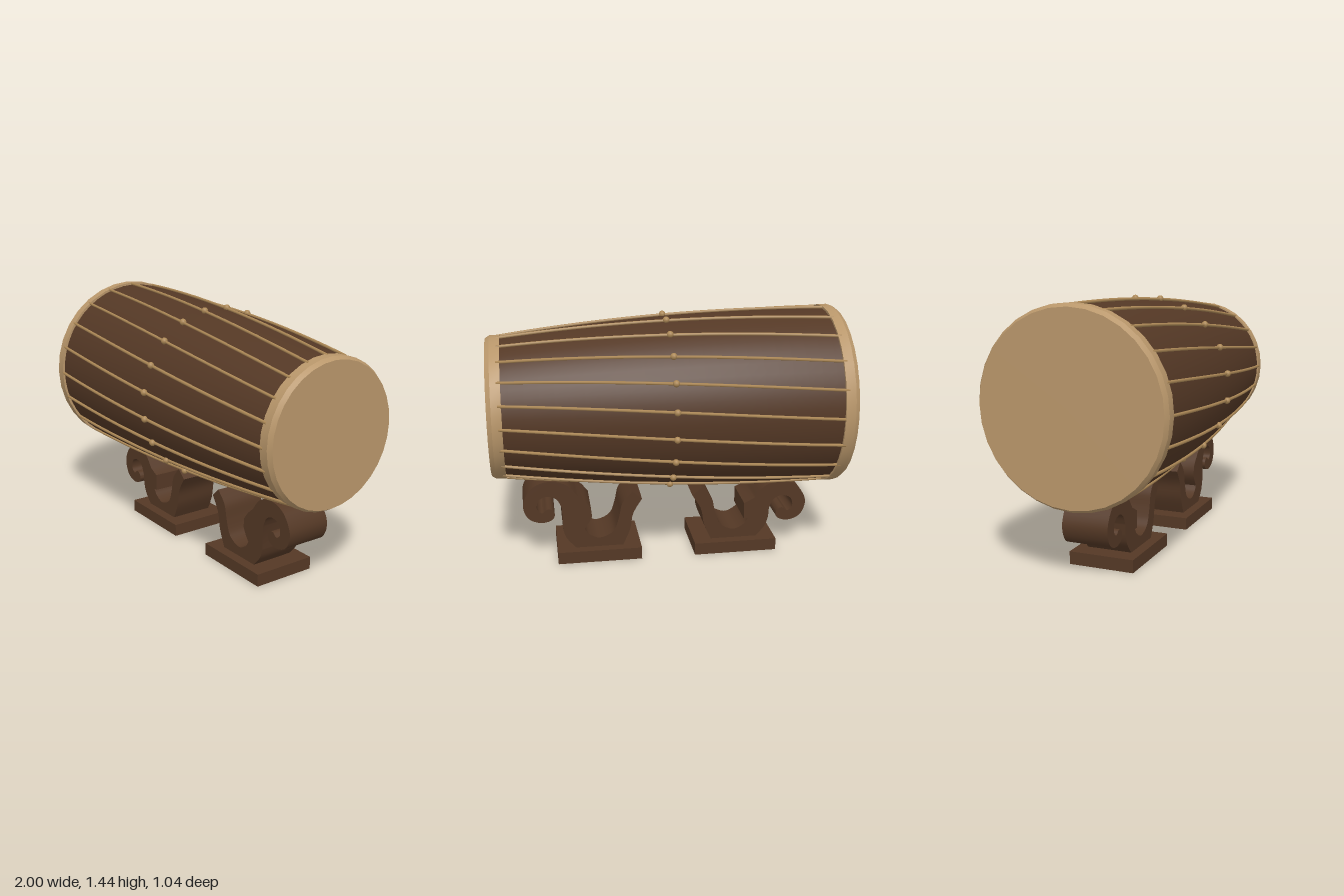
import * as THREE from 'three';
import { toCreasedNormals } from 'three/addons/utils/BufferGeometryUtils.js';

const AXIS_Y = 0.922;
const ROPES = 20;

const wood = new THREE.MeshStandardMaterial({ color: 0x543825 });
wood.name = 'dark wood';
const hide = new THREE.MeshStandardMaterial({ color: 0xb8966a });
hide.name = 'tan hide';
const cord = new THREE.MeshStandardMaterial({ color: 0xac8856 });
cord.name = 'tan cord';

// shell radius along the drum's length
const shellRadius = (x) => 0.482 - 0.06 * x - 0.037 * x * x;

function addMesh(parent, name, geometry, material) {
  const mesh = new THREE.Mesh(geometry, material);
  mesh.name = name;
  parent.add(mesh);
  return mesh;
}

// lathe lying along x, from [radius, x] pairs
function latheX(pairs, sides) {
  const g = new THREE.LatheGeometry(pairs.map(([r, x]) => new THREE.Vector2(r, x)), sides);
  g.rotateZ(-Math.PI / 2);
  return toCreasedNormals(g, 0.5);
}

// point on the drum, angle measured from the front towards the top
const onDrum = (x, r, a) => new THREE.Vector3(x, r * Math.sin(a), r * Math.cos(a));

function buildDrum() {
  const drum = new THREE.Group();
  drum.name = 'drum';
  drum.position.y = AXIS_Y;

  const profile = [];
  for (let i = 0; i <= 24; i++) {
    const x = -0.96 + (1.92 * i) / 24;
    profile.push([shellRadius(x), x]);
  }
  addMesh(drum, 'shell', latheX(profile, 48), wood);

  // heads with their chamfered hoops
  addMesh(drum, 'largeHead', latheX(
    [[0, -1], [0.503, -1], [0.52, -0.975], [0.52, -0.92], [0.48, -0.92]], 32), hide);
  addMesh(drum, 'smallHead', latheX(
    [[0.37, 0.92], [0.405, 0.92], [0.405, 0.975], [0.39, 1], [0, 1]], 32), hide);

  // slanting ropes with a bead at the middle of each
  const step = (2 * Math.PI) / ROPES;
  const bead = new THREE.SphereGeometry(0.019, 12, 8);
  for (let k = 0; k < ROPES; k++) {
    const middle = (k + 0.5) * step;
    const points = [];
    for (let i = 0; i <= 12; i++) {
      const x = -0.94 + (1.88 * i) / 12;
      points.push(onDrum(x, shellRadius(x) + 0.006, middle - (x / 1.88) * step));
    }
    const path = new THREE.CatmullRomCurve3(points);
    addMesh(drum, 'rope', new THREE.TubeGeometry(path, 30, 0.0085, 6), cord);
    addMesh(drum, 'bead', bead, cord).position.copy(onDrum(0, 0.492, middle));
  }
  return drum;
}

// smooth line through a few points
function smooth(points, count) {
  return new THREE.SplineCurve(points.map(([x, y]) => new THREE.Vector2(x, y))).getPoints(count);
}

// side is -1 or 1; lift raises the scroll; shoulder is the lump inside the cradle
function buildStand(name, side, lift, shoulder) {
  const stand = new THREE.Group();
  stand.name = name;
  const base = addMesh(stand, 'standBase', new THREE.BoxGeometry(0.492, 0.072, 0.376), wood);
  base.position.set(side * 0.405, 0.036, 0);

  const horn = smooth([[0.265, 0.07], [0.222, 0.17], [0.203, 0.27], [0.15, 0.36]], 10);
  const cradle = smooth([[0.205, 0.41], [0.265, 0.34], [0.287, 0.25], [0.32, 0.165],
    [0.4, 0.127], [0.465, 0.155], [0.49, 0.19]], 24);
  const scroll = smooth([[0.525, 0.32], [0.59, 0.395], [0.69, 0.42], [0.785, 0.385],
    [0.84, 0.29], [0.815, 0.2], [0.745, 0.165], [0.68, 0.177], [0.66, 0.212],
    [0.678, 0.243], [0.705, 0.246], [0.733, 0.226], [0.762, 0.255], [0.748, 0.308],
    [0.695, 0.328], [0.645, 0.305], [0.618, 0.25]].map(([x, y]) => [x, y + lift]), 72);
  const foot = smooth([[0.615, 0.195], [0.595, 0.135], [0.54, 0.07]], 8);
  const lump = shoulder.map(([x, y]) => new THREE.Vector2(x, y));
  const outline = [...horn, ...cradle, ...lump, ...scroll, ...foot];
  outline.forEach((p) => { p.x *= side; });

  const g = new THREE.ExtrudeGeometry(new THREE.Shape(outline),
    { depth: 0.26, bevelEnabled: false });
  g.translate(0, 0, -0.13);
  addMesh(stand, 'scrollCradle', toCreasedNormals(g, 0.6), wood);
  return stand;
}

export function createModel() {
  const model = new THREE.Group();
  model.name = 'barrelDrumOnStands';
  model.add(buildDrum());
  model.add(buildStand('rightStand', -1, 0, [[0.465, 0.19], [0.465, 0.29]]));
  model.add(buildStand('leftStand', 1, 0.08,
    [[0.465, 0.225], [0.445, 0.265], [0.45, 0.32], [0.485, 0.365]]));
  return model;
}
